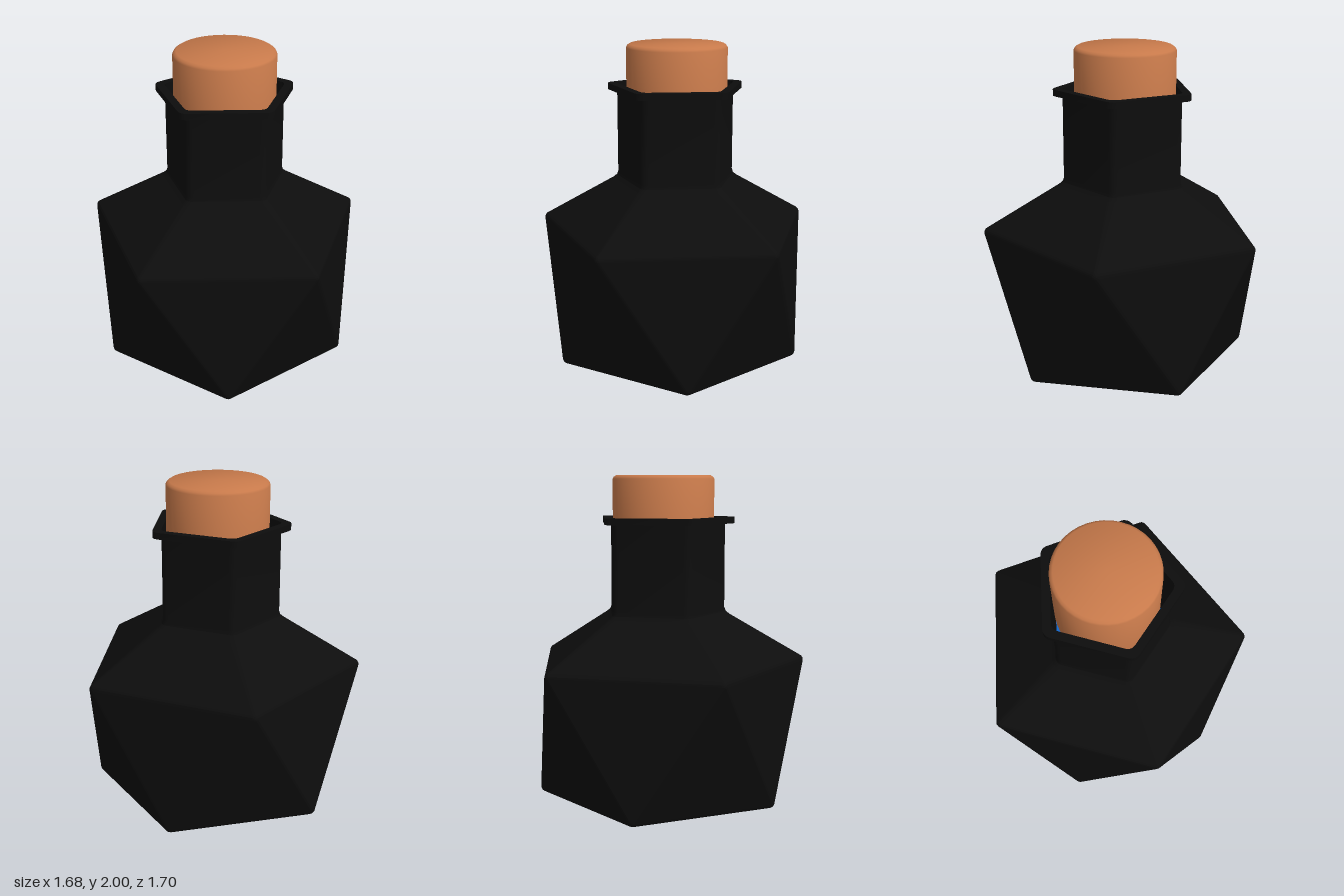
import * as THREE from 'three';
import { ConvexGeometry } from 'three/addons/geometries/ConvexGeometry.js';
import { toCreasedNormals } from 'three/addons/utils/BufferGeometryUtils.js';

const STEP = Math.PI * 2 / 5;
const AXIS_X = -0.06; // the bottle's axis sits slightly off centre

// Unit pentagon pointing along +x, with rounded corners
function pentagonOutline(round = 0.12, arc = 4) {
  const points = [];
  const centre = 1 - round / Math.cos(STEP / 2);
  for (let i = 0; i < 5; i++) {
    for (let k = 0; k <= arc; k++) {
      const a = i * STEP + (k / arc - 0.5) * STEP;
      points.push(new THREE.Vector2(
        centre * Math.cos(i * STEP) + round * Math.cos(a),
        centre * Math.sin(i * STEP) + round * Math.sin(a)));
    }
  }
  return points;
}

// Sweep a [radius, height] profile around the outline
function loft(outline, profile) {
  const n = outline.length, positions = [], index = [];
  profile.forEach(([r, y], j) => outline.forEach((p, i) => {
    positions.push(p.x * r, y, -p.y * r);
    if (j === profile.length - 1) return;
    const a = j * n + i, b = j * n + (i + 1) % n;
    index.push(a, b, b + n, a, b + n, a + n);
  }));
  const geometry = new THREE.BufferGeometry();
  geometry.setAttribute('position', new THREE.Float32BufferAttribute(positions, 3));
  geometry.setIndex(index);
  return toCreasedNormals(geometry, 0.5);
}

// Hull of small balls on two staggered pentagons, closing in to the neck
function bodyGeometry(outline) {
  const ball = 0.035, points = [];
  const sphere = new THREE.IcosahedronGeometry(ball, 2).attributes.position;
  const addRing = (radius, y, turn) => {
    for (let i = 0; i < 5; i++) {
      const a = i * STEP + turn;
      for (let k = 0; k < sphere.count; k++) {
        points.push(new THREE.Vector3().fromBufferAttribute(sphere, k)
          .add(new THREE.Vector3(radius * Math.cos(a), y, radius * Math.sin(a))));
      }
    }
  };
  addRing(0.75, ball, STEP / 2);
  addRing(0.86, 0.835, 0);
  outline.forEach(p => points.push(new THREE.Vector3(p.x * 0.43, 1.135, -p.y * 0.43)));
  return new ConvexGeometry(points);
}

export function createModel() {
  const bottle = new THREE.Group();
  bottle.name = 'bottle';
  bottle.position.x = AXIS_X;
  const add = (name, geometry, color, side = THREE.FrontSide) => {
    const mesh = new THREE.Mesh(geometry, new THREE.MeshStandardMaterial({ color, side }));
    mesh.name = name;
    bottle.add(mesh);
    return mesh;
  };
  const outline = pentagonOutline();
  const glass = 0x0d0d0d;

  add('body', bodyGeometry(outline), glass);

  // Neck with its flared foot, lip and inner wall
  add('neckAndLip', loft(outline, [
    [0.43, 1.135], [0.405, 1.155], [0.396, 1.18], [0.396, 1.705],
    [0.457, 1.705], [0.457, 1.745], [0.396, 1.745], [0.39, 1.15],
  ]), glass, THREE.DoubleSide);

  // Liquid surface inside the neck
  const liquid = new THREE.ShapeGeometry(new THREE.Shape(outline));
  liquid.scale(0.393, 0.393, 1).rotateX(-Math.PI / 2);
  add('liquid', liquid, 0x1166cc, THREE.DoubleSide).position.y = 1.2;

  // Cork with a chamfered top edge
  const cork = new THREE.LatheGeometry([
    [0, 1.45], [0.314, 1.45], [0.314, 1.977], [0.307, 1.99], [0.292, 2], [0, 2],
  ].map(([x, y]) => new THREE.Vector2(x, y)), 40);
  add('cork', toCreasedNormals(cork, 0.6), 0xc87a4b);

  const model = new THREE.Group();
  model.add(bottle);
  return model;
}
